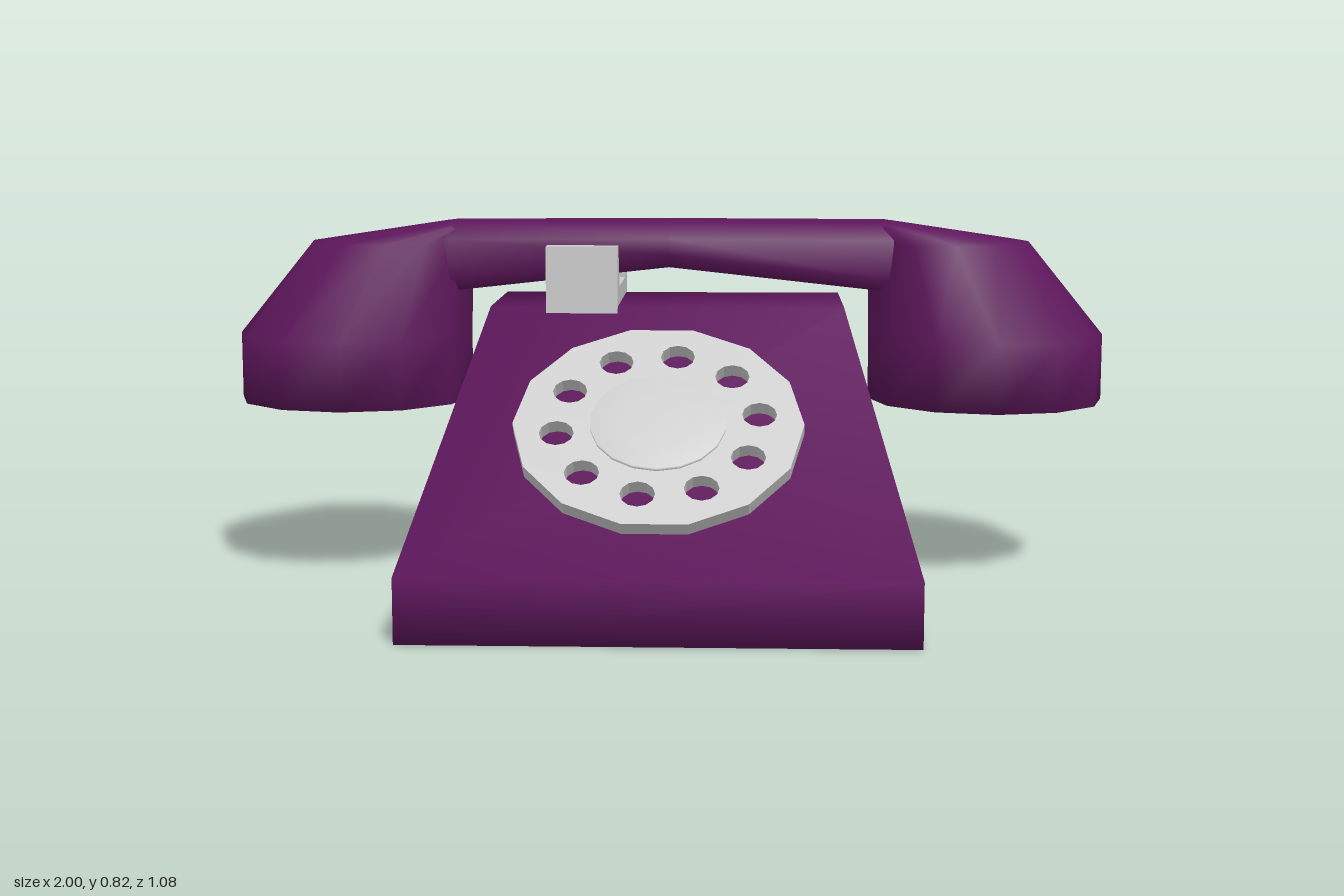
import * as THREE from 'three';

const shell = new THREE.MeshStandardMaterial({ color: 0x5e175c });
const metal = new THREE.MeshStandardMaterial({ color: 0xcccccc });

function part(name, geometry, material) {
  const mesh = new THREE.Mesh(geometry, material);
  mesh.name = name;
  return mesh;
}

// Smooth closed skin over rings of [x, y, z] points, counter-clockwise about the loft direction
function loft(rings) {
  const n = rings[0].length;
  const index = [];
  for (let i = 0; i < rings.length - 1; i++) {
    for (let j = 0; j < n; j++) {
      const k = (j + 1) % n;
      const a = i * n + j, b = i * n + k, c = a + n, d = b + n;
      index.push(a, b, d, a, d, c);
    }
  }
  const last = (rings.length - 1) * n;
  for (let j = 1; j < n - 1; j++) {
    index.push(0, j + 1, j);
    index.push(last, last + j, last + j + 1);
  }
  const geometry = new THREE.BufferGeometry();
  geometry.setAttribute('position', new THREE.Float32BufferAttribute(rings.flat(2), 3));
  geometry.setIndex(index);
  geometry.computeVertexNormals();
  return geometry;
}

// Rectangular ring for the body
const rectRing = (y, hx, back, front) =>
  [[-hx, y, front], [hx, y, front], [hx, y, back], [-hx, y, back]];

// Oval ring for the earpiece and mouthpiece
function ovalRing(y, cx, rx, rz) {
  return Array.from({ length: 12 }, (_, j) => {
    const t = (j / 12) * Math.PI * 2;
    return [cx + rx * Math.cos(t), y, -rz * Math.sin(t)];
  });
}

// Eight-sided cross-section of the grip
function gripRing(x, top, bottom, hz) {
  const inner = hz * 0.7;
  return [
    [x, top, -inner], [x, top, inner], [x, top - 0.035, hz], [x, bottom + 0.03, hz],
    [x, bottom, inner], [x, bottom, -inner], [x, bottom + 0.03, -hz], [x, top - 0.035, -hz],
  ];
}

function createHandset() {
  const handset = new THREE.Group();
  handset.name = 'handset';

  // Grip with an arched underside, its ends buried in the cups
  handset.add(part('grip', loft([
    gripRing(-0.62, 0.795, 0.62, 0.1),
    gripRing(-0.5, 0.82, 0.665, 0.115),
    gripRing(0, 0.822, 0.72, 0.115),
    gripRing(0.5, 0.82, 0.665, 0.115),
    gripRing(0.62, 0.795, 0.62, 0.1),
  ]), shell));

  // Cups at both ends
  for (const side of [-1, 1]) {
    const cup = loft([
      ovalRing(0.41, side * 0.73, 0.27, 0.262),
      ovalRing(0.56, side * 0.73, 0.27, 0.262),
      ovalRing(0.775, side * 0.64, 0.185, 0.175),
      ovalRing(0.82, side * 0.48, 0.04, 0.08),
    ]);
    handset.add(part(side < 0 ? 'earpiece' : 'mouthpiece', cup, shell));
  }
  handset.position.z = -0.185;
  handset.rotation.y = 0.013;
  return handset;
}

function createDial() {
  const dial = new THREE.Group();
  dial.name = 'dial';

  // Finger wheel with ten holes
  const wheel = new THREE.Shape(Array.from({ length: 14 }, (_, i) => {
    const t = (i / 14) * Math.PI * 2;
    return new THREE.Vector2(0.31 * Math.cos(t), 0.31 * Math.sin(t));
  }));
  for (let i = 0; i < 10; i++) {
    const t = 0.14 + (i / 10) * Math.PI * 2;
    const hole = new THREE.Path();
    hole.absarc(0.217 * Math.cos(t), 0.217 * Math.sin(t), 0.037, 0, Math.PI * 2, true);
    wheel.holes.push(hole);
  }
  const plate = new THREE.ExtrudeGeometry(wheel, { depth: 0.035, bevelEnabled: false, curveSegments: 6 });
  dial.add(part('fingerWheel', plate, metal));

  // Slightly domed centre cap
  const profile = [[0.145, 0], [0.145, 0.01], [0.08, 0.014], [0, 0.015]];
  const cap = new THREE.LatheGeometry(profile.map(([r, y]) => new THREE.Vector2(r, y)), 18);
  cap.rotateX(Math.PI / 2);
  const capMesh = part('dialCap', cap, metal);
  capMesh.position.z = 0.034;
  dial.add(capMesh);

  // Lay the dial on the sloping front
  dial.scale.y = 0.865;
  dial.rotation.x = -0.824;
  dial.position.set(-0.008, 0.395, 0.265);
  return dial;
}

function createCradle() {
  // U-shaped rest, drawn as z and y, extruded along x
  const outline = [
    [0.013, 0.775], [-0.03, 0.775], [-0.068, 0.68], [-0.302, 0.68],
    [-0.29, 0.775], [-0.375, 0.775], [-0.375, 0.6], [0.013, 0.6],
  ];
  const shape = new THREE.Shape(outline.map(([z, y]) => new THREE.Vector2(-z, y)));
  const geometry = new THREE.ExtrudeGeometry(shape, { depth: 0.16, bevelEnabled: false });
  geometry.rotateY(Math.PI / 2);
  geometry.translate(-0.27, 0, 0);
  return part('cradle', geometry, metal);
}

export function createModel() {
  const phone = new THREE.Group();
  phone.name = 'telephone';

  // Wedge-shaped body on a straight plinth
  phone.add(part('body', loft([
    rectRing(0, 0.54, -0.54, 0.54),
    rectRing(0.14, 0.54, -0.54, 0.54),
    rectRing(0.64, 0.395, -0.345, -0.002),
  ]), shell));

  phone.add(createDial(), createCradle(), createHandset());
  return phone;
}
